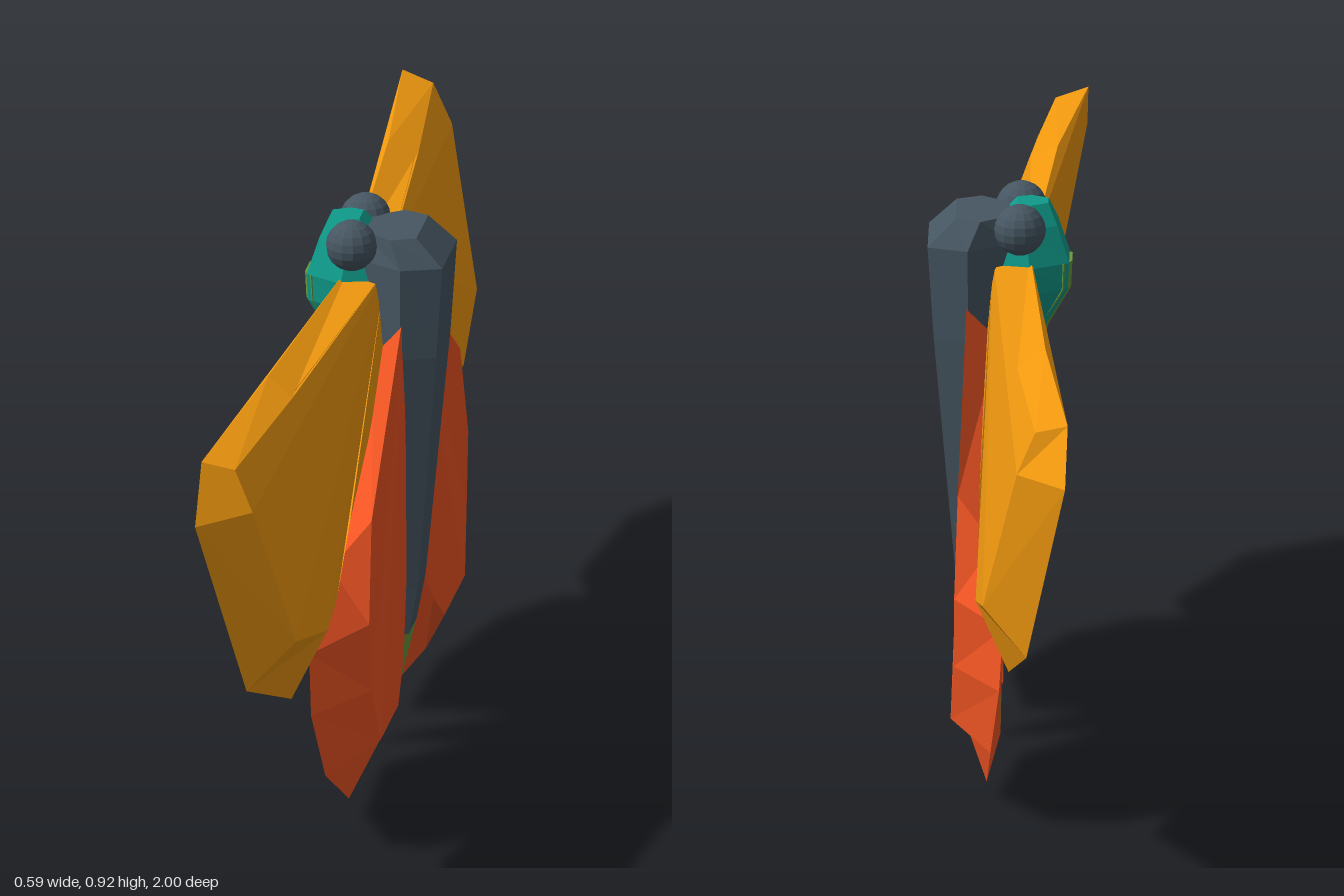
import * as THREE from 'three';

const mat = (color) => new THREE.MeshStandardMaterial({ color, flatShading: true });
const ORANGE = mat(0xf0980f), RED = mat(0xf05423), SLATE = mat(0x465662);
const GREEN = mat(0x6a9a3c), TEAL = mat(0x0f9a8a);

// Closed faceted solid through rings of equal point count, capped with fans
function loft(name, rings, material, mirror = 1) {
  const n = rings[0].length, pos = [], idx = [];
  for (const r of rings) for (const [x, y, z] of r) pos.push(x, y, z * mirror);
  for (let k = 0; k < rings.length - 1; k++) {
    for (let i = 0; i < n; i++) {
      const a = k * n + i, b = k * n + (i + 1) % n;
      idx.push(a, b, b + n, a, b + n, a + n);
    }
  }
  const last = (rings.length - 1) * n;
  for (let i = 1; i < n - 1; i++) {
    idx.push(0, i + 1, i, last, last + i, last + i + 1);
  }
  // Turn the faces outward if the enclosed volume comes out negative
  const v = (i) => new THREE.Vector3().fromArray(pos, i * 3);
  let volume = 0;
  for (let i = 0; i < idx.length; i += 3) volume += v(idx[i]).dot(v(idx[i + 1]).cross(v(idx[i + 2])));
  if (volume < 0) idx.reverse();
  const indexed = new THREE.BufferGeometry();
  indexed.setAttribute('position', new THREE.Float32BufferAttribute(pos, 3));
  indexed.setIndex(idx);
  const geometry = indexed.toNonIndexed();
  geometry.computeVertexNormals();
  const mesh = new THREE.Mesh(geometry, material);
  mesh.name = name;
  return mesh;
}

// Six-sided horizontal section: height, belly x, back x, half width
const section = ([y, x0, x1, w]) => {
  const m = x0 * 0.45 + x1 * 0.55;
  return [[x0, y, w * 0.5], [m, y, w], [x1, y, w * 0.75], [x1, y, -w * 0.75], [m, y, -w], [x0, y, -w * 0.5]];
};

// Wing outlines: belly-side ring and inset back-side ring
const foreWing = [
  [[0.03, 0.815, 0], [-0.005, 0.825, 0.57], [-0.048, 0.81, 0.953], [-0.045, 0.725, 1.03], [0.02, 0.405, 0.913],
    [0.053, 0.31, 0.677], [0.056, 0.35, 0.56], [0.058, 0.395, 0.47], [0.06, 0.7, 0]],
  [[0.09, 0.812, 0], [0.04, 0.8, 0.6], [0.005, 0.795, 0.94], [0.035, 0.725, 0.945], [0.092, 0.475, 0.856],
    [0.107, 0.42, 0.644], [0.105, 0.44, 0.545], [0.105, 0.53, 0.42], [0.1, 0.7, 0]],
];
const hindWing = [
  [[0.07, 0.71, 0], [0.08, 0.46, 0.46], [0.064, 0.35, 0.572], [0.07, 0.25, 0.588], [0.085, 0.13, 0.537],
    [0.094, 0.03, 0.365], [0.076, 0.042, 0.136], [0.08, 0.27, 0.03]],
  [[0.13, 0.79, 0.03], [0.14, 0.53, 0.42], [0.145, 0.37, 0.47], [0.146, 0.25, 0.45], [0.152, 0.147, 0.4],
    [0.15, 0.143, 0.22], [0.145, 0.2, 0.14], [0.135, 0.29, 0.06]],
];

export function createModel() {
  const model = new THREE.Group();
  model.name = 'moth';
  const moth = new THREE.Group();
  moth.name = 'mothBody';
  model.add(moth);

  // Thorax tapering into the abdomen, with a green tail tip
  moth.add(loft('thoraxAndAbdomen', [
    [0.89, 0.06, 0.15, 0.075], [0.845, 0.05, 0.195, 0.094], [0.69, 0.06, 0.185, 0.09],
    [0.28, 0.075, 0.15, 0.052], [0.2, 0.075, 0.135, 0.05],
  ].map(section), SLATE));
  moth.add(loft('tailTip', [
    [0.2, 0.075, 0.135, 0.05], [0.1, 0.076, 0.112, 0.032], [0.001, 0.078, 0.082, 0.002],
  ].map(section), GREEN));

  // Head, narrowing downward, with a green ridge on its front
  const head = [
    [0.905, 0, 0.05, 0.03], [0.87, -0.015, 0.08, 0.055], [0.81, -0.034, 0.08, 0.075],
    [0.765, -0.032, 0.08, 0.07], [0.7, 0.005, 0.08, 0.045], [0.62, 0.045, 0.07, 0.015],
  ];
  moth.add(loft('head', head.map(section), TEAL));
  moth.add(loft('headRidge', head.slice(2).map(([y, x0, , w]) => section([y, x0 - 0.005, x0 + 0.02, w * 0.6])), GREEN));

  // Paired eyes and wings
  for (const side of [1, -1]) {
    const label = side > 0 ? 'Left' : 'Right';
    const eye = new THREE.Mesh(new THREE.SphereGeometry(0.042, 14, 10), SLATE);
    eye.name = 'eye' + label;
    eye.position.set(0.045, 0.875, 0.067 * side);
    moth.add(eye);
    moth.add(loft('foreWing' + label, foreWing, ORANGE, side));
    moth.add(loft('hindWing' + label, hindWing, RED, side));
  }

  // Slight turn and bank of the whole insect
  moth.rotation.order = 'YXZ';
  moth.rotation.set(-0.01, 0.245, 0);
  moth.position.set(-0.003, 0, -0.012);
  return model;
}
